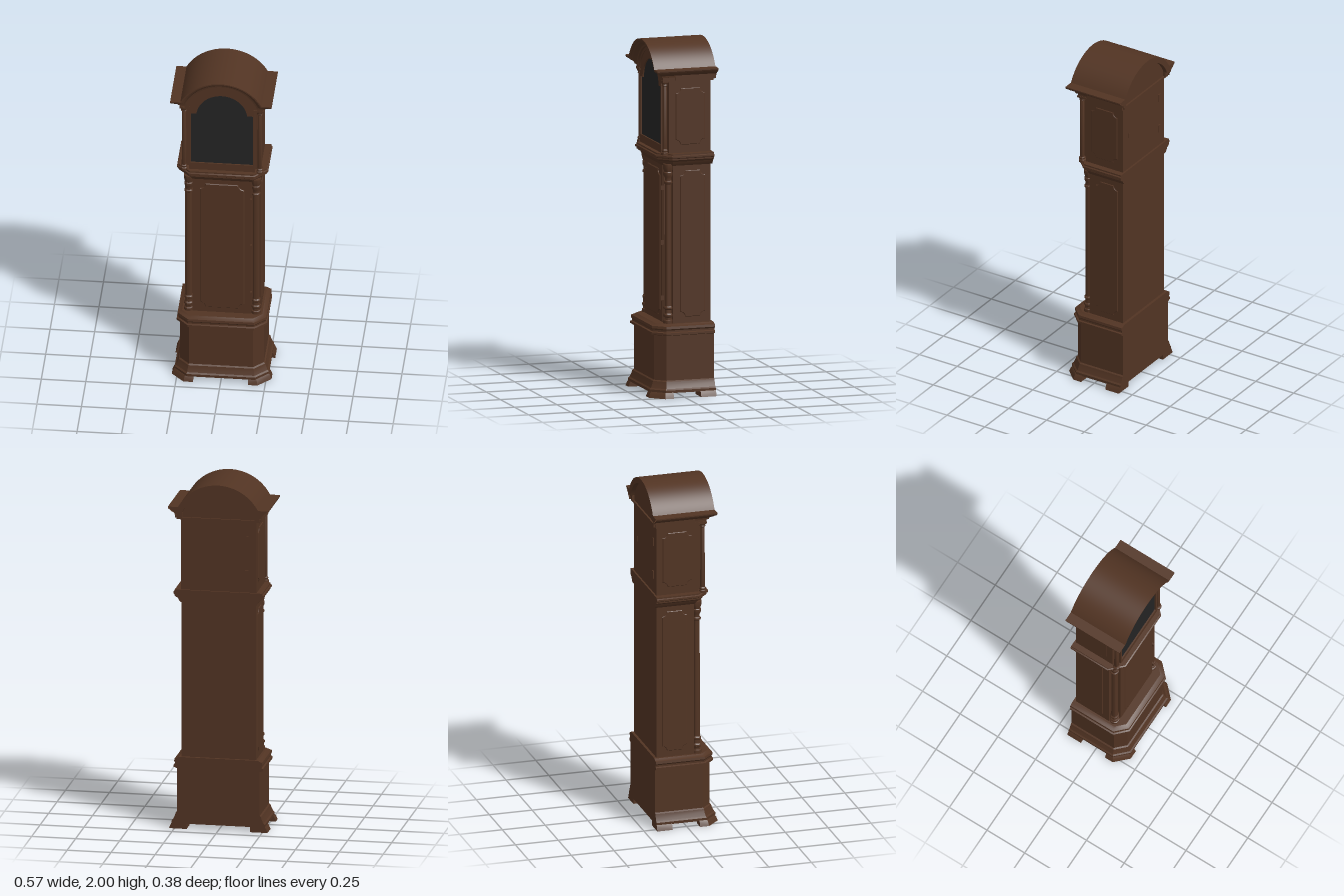
import * as THREE from 'three';
import { toCreasedNormals } from 'three/addons/utils/BufferGeometryUtils.js';

const ARCH_Y = 1.741; // shared centre height of every hood arch

// Skin between matching rings of points; closed rings may be capped
function loft(rings, closed = true) {
  const pos = [];
  const tri = (...pts) => pts.forEach((p) => pos.push(...p));
  for (let k = 0; k < rings.length - 1; k++) {
    const a = rings[k], b = rings[k + 1], n = a.length;
    for (let i = 0; i < (closed ? n : n - 1); i++) {
      const j = (i + 1) % n;
      tri(a[i], a[j], b[j]);
      tri(a[i], b[j], b[i]);
    }
  }
  if (closed) {
    const cap = (ring, flip) => {
      const flat = ring.map((p) => new THREE.Vector2(p[0], -p[2]));
      for (const [a, b, c] of THREE.ShapeUtils.triangulateShape(flat, [])) {
        if (flip) tri(ring[a], ring[c], ring[b]);
        else tri(ring[a], ring[b], ring[c]);
      }
    };
    cap(rings[0], true);
    cap(rings[rings.length - 1], false);
  }
  const g = new THREE.BufferGeometry();
  g.setAttribute('position', new THREE.Float32BufferAttribute(pos, 3));
  return toCreasedNormals(g, 0.4);
}

// Plan outline with chamfered front corners
function plan(hx, zf, zb, c, y) {
  return [[-hx, y, zf - c], [-hx + c, y, zf], [hx - c, y, zf], [hx, y, zf - c], [hx, y, zb], [-hx, y, zb]];
}

// Moulding from [offset, height] steps around a chamfered plan
function moulding(hx, zf, zb, c, steps) {
  return loft(steps.map(([o, y]) => plan(hx + o, zf + o, zb, c + 0.586 * o, y)));
}

// Straight-sided outline with an arched top, centred on x = 0
function archShape(hx, y0, r, shoulderY) {
  const s = new THREE.Shape();
  const a = shoulderY ? Math.asin((shoulderY - ARCH_Y) / r) : Math.acos(hx / r);
  s.moveTo(-hx, y0);
  s.lineTo(hx, y0);
  if (shoulderY) s.lineTo(hx, shoulderY);
  s.absarc(0, ARCH_Y, r, a, Math.PI - a, false);
  if (shoulderY) s.lineTo(-hx, shoulderY);
  s.closePath();
  return s;
}

// Rectangle with scooped corners
function panelShape(w, h, n) {
  const s = new THREE.Shape(), x = w / 2, y = h / 2, P = Math.PI, e = n * 0.25;
  s.moveTo(-x + n + e, -y);
  s.lineTo(x - n - e, -y);
  s.lineTo(x - n, -y);
  s.absarc(x, -y, n, P, P / 2, true);
  s.lineTo(x, y - n);
  s.absarc(x, y, n, P * 1.5, P, true);
  s.lineTo(-x + n, y);
  s.absarc(-x, y, n, 0, -P / 2, true);
  s.lineTo(-x, -y + n);
  s.absarc(-x, -y, n, P / 2, 0, true);
  return s;
}

function extrude(shape, depth, bevel = 0) {
  return new THREE.ExtrudeGeometry(shape, {
    depth, curveSegments: 28, bevelEnabled: bevel > 0,
    bevelThickness: bevel, bevelSize: bevel, bevelOffset: -bevel, bevelSegments: 1,
  });
}

function lathe(points) {
  const g = new THREE.LatheGeometry(points.map(([r, y]) => new THREE.Vector2(r, y)), 24);
  return toCreasedNormals(g, 0.6);
}

// Cornice line: along one side, over the arched front, back along the other side
function corniceLine(o, h, zf, zb) {
  const x = 0.235 + o, y = 1.8 + h, r = 0.195 + h, pts = [];
  const a = Math.asin((y - ARCH_Y) / r), n = 48;
  pts.push([-x, y, zb], [-x, y, zf]);
  for (let i = 0; i <= n; i++) {
    const t = Math.PI - a - (i / n) * (Math.PI - 2 * a);
    pts.push([r * Math.cos(t), ARCH_Y + r * Math.sin(t), zf]);
  }
  pts.push([x, y, zf], [x, y, zb]);
  return pts;
}

export function createModel() {
  const model = new THREE.Group();
  const wood = new THREE.MeshStandardMaterial({ color: 0x523423, side: THREE.DoubleSide });
  wood.name = 'dark wood';
  const glass = new THREE.MeshStandardMaterial({ color: 0x242424 });
  glass.name = 'dark glass';

  const add = (name, geometry, x = 0, y = 0, z = 0, material = wood) => {
    const m = new THREE.Mesh(geometry, material);
    m.name = name;
    m.position.set(x, y, z);
    model.add(m);
    return m;
  };
  const box = (name, x0, x1, y0, y1, z0, z1) =>
    add(name, new THREE.BoxGeometry(x1 - x0, y1 - y0, z1 - z0), (x0 + x1) / 2, (y0 + y1) / 2, (z0 + z1) / 2);

  // Flared bracket feet
  const frontFoot = loft([[0.045, 0], [0.037, 0.022], [0.03, 0.032]].map(([o, y]) => {
    const hx = 0.235 + o, zf = 0.15 + o, c = 0.05 + 0.5 * o;
    return [[0.155, y, zf], [hx - c, y, zf], [hx, y, zf - c], [hx, y, 0.07],
      [hx - 0.06, y, 0.07], [hx - c - 0.02, y, zf - 0.06], [0.155, y, zf - 0.06]];
  }));
  const backFoot = loft([[0.045, 0], [0.037, 0.022], [0.03, 0.032]].map(([o, y]) =>
    [[0.18, y, -0.09], [0.235 + o, y, -0.09], [0.235 + o, y, -0.18], [0.18, y, -0.18]]));
  for (const s of [-1, 1]) {
    add('frontFoot', frontFoot).scale.x = s;
    add('backFoot', backFoot).scale.x = s;
  }

  // Base with plinth and waist mouldings
  add('plinth', moulding(0.235, 0.155, -0.18, 0.055,
    [[0.03, 0.03], [0.03, 0.045], [0.022, 0.052], [0.012, 0.075], [0.008, 0.09], [0, 0.096]]));
  add('base', moulding(0.235, 0.155, -0.18, 0.055, [[0, 0.09], [0, 0.36]]));
  add('waistMoulding', moulding(0.235, 0.155, -0.18, 0.055,
    [[0, 0.35], [0.019, 0.356], [0.019, 0.368], [0.01, 0.372], [0.01, 0.382],
      [0.016, 0.39], [0.014, 0.404], [0.002, 0.408], [-0.01, 0.415]]));

  // Trunk with a projecting door and scooped panels
  box('trunk', -0.213, 0.213, 0.41, 1.33, -0.165, 0.055);
  box('trunkFront', -0.165, 0.165, 0.41, 1.33, 0.05, 0.096);
  box('trunkDoor', -0.16, 0.16, 0.42, 1.31, 0.09, 0.1);
  add('trunkDoorPanel', extrude(panelShape(0.25, 0.83, 0.032), 0.002, 0.004), 0, 0.865, 0.1);
  for (const y of [0.555, 0.87, 1.18]) box('doorHinge', 0.158, 0.168, y - 0.013, y + 0.013, 0.095, 0.11);

  // Quarter columns set into the trunk corners
  const trunkColumn = lathe([[0, 0.41], [0.027, 0.41], [0.027, 0.432], [0.021, 0.436], [0.021, 0.448],
    [0.026, 0.455], [0.026, 0.465], [0.02, 0.472], [0.02, 0.492], [0.025, 0.498], [0.025, 0.506],
    [0.019, 0.513], [0.018, 1.205], [0.024, 1.21], [0.024, 1.22], [0.018, 1.225], [0.018, 1.24],
    [0.025, 1.255], [0.025, 1.27], [0.021, 1.275], [0.028, 1.3], [0.028, 1.32], [0, 1.32]]);

  // Free-standing hood columns
  const hoodColumn = lathe([[0, 1.375], [0.02, 1.375], [0.02, 1.388], [0.015, 1.392], [0.018, 1.402],
    [0.013, 1.408], [0.012, 1.765], [0.017, 1.77], [0.014, 1.776], [0.02, 1.785], [0.02, 1.8], [0, 1.8]]);

  for (const s of [-1, 1]) {
    add('trunkColumn', trunkColumn, s * 0.189, 0, 0.076);
    add('hoodColumn', hoodColumn, s * 0.213, 0, 0.104);
    const trunkSide = add('trunkSidePanel', extrude(panelShape(0.145, 0.83, 0.028), 0.001, 0.003), s * 0.213, 0.865, -0.06);
    const hoodSide = add('hoodSidePanel', extrude(panelShape(0.17, 0.32, 0.028), 0.001, 0.003), s * 0.215, 1.588, -0.045);
    trunkSide.rotation.y = hoodSide.rotation.y = s * Math.PI / 2;
    // Blocks closing the cornice above the hood sides
    box('corniceBlock', s > 0 ? 0.205 : -0.247, s > 0 ? 0.247 : -0.205, 1.8, 1.832, -0.18, 0.05);
  }

  // Moulding carrying the hood
  add('hoodBaseMoulding', moulding(0.215, 0.105, -0.175, 0.05,
    [[0, 1.31], [0.01, 1.323], [0.016, 1.335], [0.022, 1.338], [0.034, 1.347], [0.034, 1.355],
      [0.041, 1.36], [0.041, 1.37], [0.034, 1.374], [0.034, 1.382]]));

  // Hood case, arched door and glass
  add('hoodCase', extrude(archShape(0.215, 1.375, 0.225), 0.245), 0, 0, -0.165);
  const door = archShape(0.185, 1.383, 0.199);
  door.holes.push(new THREE.Path(archShape(0.175, 1.427, 0.143, 1.757).getPoints(28)));
  add('hoodDoor', extrude(door, 0.036), 0, 0, 0.08);
  add('hoodGlass', new THREE.ShapeGeometry(archShape(0.178, 1.424, 0.146, 1.76), 28), 0, 0, 0.108, glass);
  const trim = archShape(0.185, 1.757, 0.178);
  trim.holes.push(new THREE.Path(archShape(0.15, 1.757, 0.155).getPoints(28)));

  // Arched cornice: stepped profile, roof, then the rim at the back
  box('corniceSoffit', -0.238, 0.238, 1.79, 1.802, -0.175, 0.08);
  for (const s of [-1, 1]) {
    box('corniceCorner', s > 0 ? 0.18 : -0.238, s > 0 ? 0.238 : -0.18, 1.79, 1.802, 0.07, 0.122);
  }
  const steps = [[0, 0], [0, 0.016], [0.01, 0.018], [0.012, 0.028], [0.02, 0.034],
    [0.032, 0.04], [0.038, 0.048], [0.046, 0.05], [0.05, 0.057], [0.05, 0.064]];
  const lines = [corniceLine(0, 0, 0.085, -0.18), ...steps.map(([o, h]) => corniceLine(o, h, 0.12 + o, -0.19))];
  lines.push(corniceLine(0.05, 0.064, -0.19, -0.19));
  lines.push(corniceLine(0.012, 0.03, -0.19, -0.19), corniceLine(0.012, 0.03, -0.16, -0.16));
  add('archedCornice', loft(lines, false));

  // Hinges and catch on the back of the hood
  for (const y of [1.49, 1.685]) box('backHinge', -0.17, -0.15, y - 0.022, y + 0.022, -0.171, -0.16);
  box('backCatch', 0.147, 0.155, 1.575, 1.605, -0.168, -0.16);

  return model;
}
